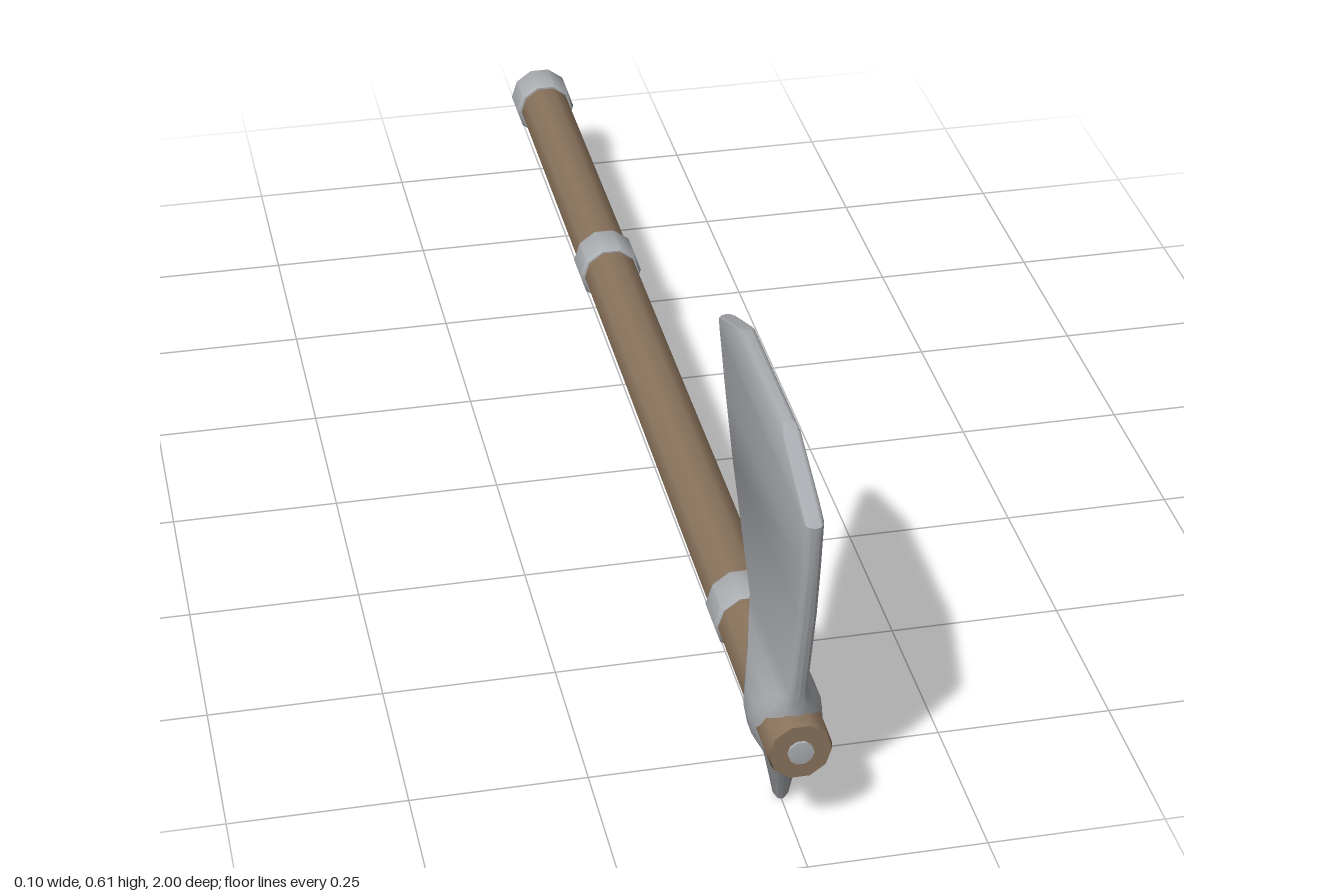
import * as THREE from 'three';
import { toCreasedNormals } from 'three/addons/utils/BufferGeometryUtils.js';

const AXIS_Y = 0.153;
const SIDES = 10;
const steel = new THREE.MeshStandardMaterial({ color: 0xa9acb0 });
const wood = new THREE.MeshStandardMaterial({ color: 0x8a735c });

// Ten-sided turned part lying along z; profile is [radius, z]
function turned(name, profile, material, z = 0) {
  const points = profile.map(([r, h]) => new THREE.Vector2(r, h));
  const geometry = new THREE.LatheGeometry(points, SIDES);
  geometry.rotateY(Math.PI / 2).rotateX(Math.PI / 2);
  const mesh = new THREE.Mesh(toCreasedNormals(geometry, 0.7), material);
  mesh.name = name;
  mesh.position.set(0, AXIS_Y, z);
  return mesh;
}

// Closed loft of round-ended slabs stacked in y; section is [y, zBack, zFront, halfWidth]
function loftHead(sections) {
  const half = 7, ring = half * 2;
  const positions = [], index = [];
  for (const [y, back, front, width] of sections) {
    const reach = Math.min(width * 1.2, (front - back) / 2);
    for (let i = 0; i < ring; i++) {
      const atFront = i < half;
      const a = Math.PI * ((atFront ? i : i - half) / (half - 1)) + (atFront ? 0 : Math.PI);
      const z = (atFront ? front - reach : back + reach) + Math.sin(a) * reach;
      positions.push(Math.cos(a) * width, y, z);
    }
  }
  for (let s = 0; s < sections.length - 1; s++) {
    for (let i = 0; i < ring; i++) {
      const a = s * ring + i, b = s * ring + (i + 1) % ring;
      index.push(a, a + ring, b, b, a + ring, b + ring);
    }
  }
  const last = (sections.length - 1) * ring;
  for (let i = 1; i < ring - 1; i++) {
    index.push(0, i, i + 1);
    index.push(last, last + i + 1, last + i);
  }
  const geometry = new THREE.BufferGeometry();
  geometry.setAttribute('position', new THREE.Float32BufferAttribute(positions, 3));
  geometry.setIndex(index);
  return toCreasedNormals(geometry, 0.9);
}

export function createModel() {
  const model = new THREE.Group();
  model.name = 'axe';

  // Wooden shaft with slightly softened ends
  model.add(turned('handle', [
    [0, -0.995], [0.04, -0.995], [0.043, -0.98], [0.044, 0],
    [0.046, 0.8], [0.046, 0.935], [0.043, 0.948], [0, 0.948],
  ], wood));

  // Steel rings around the shaft
  const ring = [
    [0.038, -0.034], [0.046, -0.034], [0.05, -0.027],
    [0.05, 0.027], [0.046, 0.034], [0.038, 0.034],
  ];
  [['frontRing', 0.616], ['middleRing', -0.376], ['endRing', -0.966]].forEach(([name, z]) => {
    model.add(turned(name, ring, steel, z));
  });

  // Plug in the front end of the shaft
  model.add(turned('frontPlug', [[0, -0.01], [0.019, -0.01], [0.018, 0.002], [0, 0.004]], steel, 0.95));

  // Spike, socket and flared blade in one piece
  const head = new THREE.Mesh(loftHead([
    [0.0, 0.836, 0.85, 0.006],
    [0.008, 0.831, 0.855, 0.011],
    [0.08, 0.815, 0.872, 0.025],
    [0.1, 0.795, 0.895, 0.034],
    [0.125, 0.778, 0.915, 0.046],
    [0.153, 0.772, 0.922, 0.051],
    [0.18, 0.765, 0.926, 0.046],
    [0.205, 0.735, 0.929, 0.032],
    [0.222, 0.702, 0.932, 0.02],
    [0.24, 0.688, 0.937, 0.0135],
    [0.39, 0.573, 0.976, 0.0135],
    [0.47, 0.525, 0.99, 0.0135],
    [0.543, 0.487, 1.0, 0.0135],
    [0.557, 0.481, 0.973, 0.0135],
    [0.6, 0.585, 0.874, 0.0125],
    [0.608, 0.606, 0.857, 0.0085],
    [0.612, 0.62, 0.848, 0.003],
  ]), steel);
  head.name = 'axeHead';
  model.add(head);

  return model;
}
